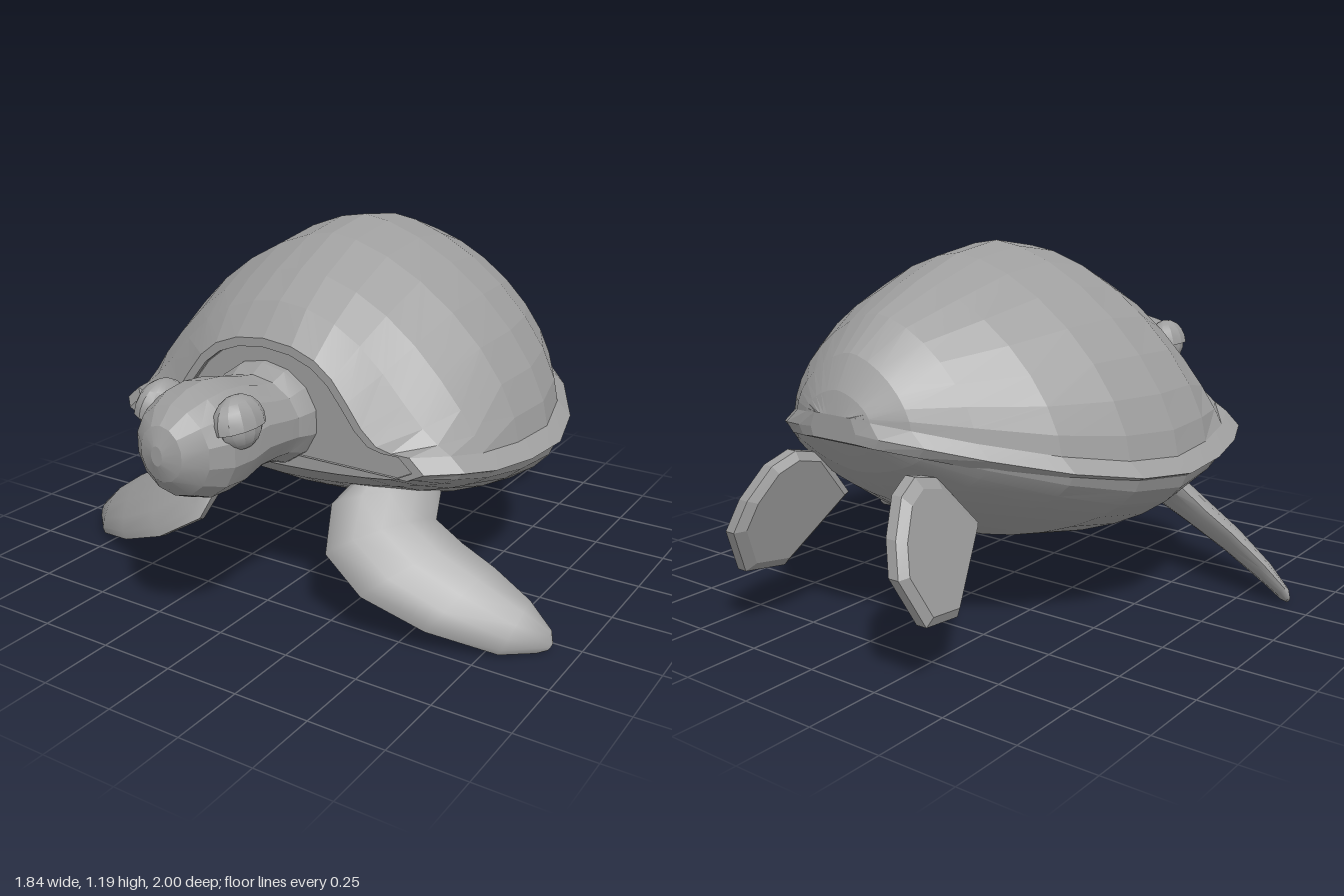
import * as THREE from 'three';
import { toCreasedNormals } from 'three/addons/utils/BufferGeometryUtils.js';

const V = (x, y, z) => new THREE.Vector3(x, y, z);
const STEPS = 8; // points from rim to ridge on each side
const POWER = 2 / 1.6; // roundness of the shell and belly sections

// Skin over closed rings; each ring runs counter-clockwise seen from the first ring's end
function loft(rings, crease) {
  const n = rings[0].length;
  const pos = rings.flat().flatMap((p) => [p.x, p.y, p.z]);
  const idx = [];
  for (let i = 0; i < rings.length - 1; i++) {
    for (let j = 0; j < n; j++) {
      const k = (j + 1) % n;
      const a = i * n + j, b = i * n + k, c = (i + 1) * n + k, d = (i + 1) * n + j;
      idx.push(a, d, c, a, c, b);
    }
  }
  // end caps
  [[0, false], [rings.length - 1, true]].forEach(([r, back]) => {
    const mid = rings[r].reduce((s, p) => s.add(p), V(0, 0, 0)).divideScalar(n);
    const m = pos.length / 3;
    pos.push(mid.x, mid.y, mid.z);
    for (let j = 0; j < n; j++) {
      const a = r * n + j, b = r * n + (j + 1) % n;
      idx.push(m, back ? b : a, back ? a : b);
    }
  });
  const g = new THREE.BufferGeometry();
  g.setAttribute('position', new THREE.Float32BufferAttribute(pos, 3));
  g.setIndex(idx);
  return toCreasedNormals(g, crease);
}

// Stations front to back: z, half width, ridge height, rim height, belly height, neck-arch blend
const STATIONS = [
  [0.49, 0.57, 0.91, 0.585, 0.50, 1],
  [0.40, 0.66, 1.01, 0.58, 0.43, 0.5],
  [0.28, 0.705, 1.09, 0.56, 0.365, 0.2],
  [0.10, 0.74, 1.175, 0.545, 0.28, 0],
  [-0.10, 0.75, 1.207, 0.54, 0.205, 0],
  [-0.30, 0.70, 1.18, 0.56, 0.25, 0],
  [-0.50, 0.59, 1.11, 0.60, 0.35, 0],
  [-0.68, 0.42, 1.03, 0.65, 0.46, 0],
  [-0.80, 0.28, 0.93, 0.69, 0.57, 0],
  [-0.86, 0.16, 0.83, 0.71, 0.66, 0],
  [-0.88, 0.09, 0.76, 0.72, 0.70, 0],
];
// Front opening profile, rim to ridge
const ARCH = [[1, 0], [0.88, 0], [0.78, 0.04], [0.68, 0.2], [0.58, 0.45], [0.48, 0.68], [0.36, 0.85], [0.2, 0.96], [0, 1]];

// Upper outline from the +x rim over the ridge to the -x rim
function dome([z, w, top, rim, , arch], k = 1) {
  const half = w - Math.min(0.05, w * 0.2), base = rim + 0.04;
  const pts = [];
  for (let j = 0; j <= 2 * STEPS; j++) {
    const i = j <= STEPS ? j : 2 * STEPS - j;
    const t = (i / STEPS) * Math.PI / 2;
    const u = THREE.MathUtils.lerp(Math.max(0, Math.cos(t)) ** POWER, ARCH[i][0], arch);
    const v = THREE.MathUtils.lerp(Math.sin(t) ** POWER, ARCH[i][1], arch);
    pts.push(V((j <= STEPS ? 1 : -1) * u * half * k, base + v * (top - base) * k, z));
  }
  return pts;
}

function shellRing(s) {
  const [z, w, , rim] = s;
  const inner = w * 0.9;
  return [V(inner, rim - 0.035, z), V(w, rim - 0.005, z), ...dome(s), V(-w, rim - 0.005, z), V(-inner, rim - 0.035, z)];
}

function bodyRing(s) {
  const [z, w, , rim, low] = s;
  const pts = dome(s, 0.9);
  const y0 = rim - 0.015;
  for (let j = 0; j <= 2 * STEPS; j++) {
    const t = (j / STEPS) * Math.PI / 2, c = Math.cos(t);
    pts.push(V(-Math.sign(c) * Math.abs(c) ** POWER * w * 0.975, y0 - (y0 - low) * Math.max(0, Math.sin(t)) ** POWER, z));
  }
  pts.forEach((p) => { p.z = z * 0.98; });
  return pts;
}

// Head and neck stations: z, centre height, half width, half height
const HEAD = [
  [1.0, 0.69, 0.02, 0.03], [0.98, 0.69, 0.075, 0.085], [0.93, 0.685, 0.135, 0.138],
  [0.86, 0.682, 0.172, 0.166], [0.78, 0.683, 0.18, 0.172], [0.70, 0.69, 0.178, 0.155],
  [0.62, 0.68, 0.178, 0.142], [0.55, 0.67, 0.175, 0.14], [0.50, 0.67, 0.19, 0.165], [0.38, 0.67, 0.2, 0.175],
];

// Front flipper: leading and trailing edge points with half thickness, shoulder to tip
const FLIPPER = [
  [V(0.25, 0.45, 0.36), V(0.42, 0.47, 0.10), 0.05],
  [V(0.215, 0.39, 0.44), V(0.47, 0.39, 0.19), 0.055],
  [V(0.25, 0.26, 0.53), V(0.51, 0.35, 0.29), 0.055],
  [V(0.40, 0.17, 0.565), V(0.60, 0.29, 0.285), 0.05],
  [V(0.60, 0.09, 0.52), V(0.71, 0.23, 0.275), 0.042],
  [V(0.80, 0.025, 0.42), V(0.83, 0.15, 0.27), 0.03],
  [V(0.885, 0.015, 0.335), V(0.91, 0.075, 0.28), 0.018],
  [V(0.91, 0.02, 0.31), V(0.92, 0.04, 0.29), 0.008],
];

function flipperRings(side) {
  const flip = (p) => V(p.x * side, p.y, p.z);
  const rows = FLIPPER.map(([a, b, t]) => ({ a: flip(a), b: flip(b), t }));
  const mids = rows.map(({ a, b }) => a.clone().add(b).multiplyScalar(0.5));
  return rows.map(({ a, b, t }, i) => {
    const along = mids[Math.min(i + 1, mids.length - 1)].clone().sub(mids[Math.max(i - 1, 0)]);
    const wide = a.clone().sub(b).multiplyScalar(0.5);
    const normal = wide.clone().cross(along).normalize();
    return Array.from({ length: 12 }, (_, j) => {
      const q = (j / 12) * Math.PI * 2;
      return mids[i].clone().addScaledVector(wide, Math.cos(q)).addScaledVector(normal, Math.sin(q) * t);
    });
  });
}

// Hind foot outline: distance behind centre, height
const FOOT = [[0.57, 0.41], [0.78, 0.2], [0.93, 0.22], [1.0, 0.37], [0.97, 0.47], [0.9, 0.57], [0.82, 0.605], [0.72, 0.58]];

// Bevelled plate, leaning outward toward its lower edge
function footRings(side) {
  return [[0.04, 0.85], [0.018, 1], [-0.018, 1], [-0.04, 0.85]].map(([off, k]) => {
    const ring = FOOT.map(([b, h]) => {
      const back = 0.81 + (b - 0.81) * k, y = 0.41 + (h - 0.41) * k;
      const x = 0.24 + 0.3 * (0.6 - y) + 0.12 * (back - 0.8) + off;
      return V(x * side, y, -back);
    });
    return side > 0 ? ring : ring.reverse();
  });
}

export function createModel() {
  const group = new THREE.Group();
  group.name = 'turtle';
  const grey = new THREE.MeshStandardMaterial({ color: 0x9e9e9e });
  grey.name = 'grey';
  const add = (name, geometry) => {
    const mesh = new THREE.Mesh(geometry, grey);
    mesh.name = name;
    group.add(mesh);
    return mesh;
  };

  // Shell with an inset lip around the neck opening
  const rings = STATIONS.map(shellRing);
  const inset = (z) => rings[0].map((p) => V(p.x * 0.93, 0.55 + (p.y - 0.55) * 0.92, z));
  add('shell', loft([inset(0.42), inset(0.49), ...rings], 0.12));
  add('body', loft(STATIONS.map(bodyRing), 0.2));

  // Head and neck
  add('headAndNeck', loft(HEAD.map(([z, cy, w, h]) => Array.from({ length: 14 }, (_, j) => {
    const q = (j / 14) * Math.PI * 2 + Math.PI / 2;
    return V(Math.cos(q) * w, cy + Math.sin(q) * h, z);
  })), 0.3));

  for (const side of [1, -1]) {
    const label = side > 0 ? 'left' : 'right';
    // Eye and the lid over its upper half
    const eye = add(label + 'Eye', toCreasedNormals(new THREE.SphereGeometry(1, 12, 8), 0.4));
    eye.scale.set(0.055, 0.075, 0.085);
    const lid = add(label + 'Eyelid', toCreasedNormals(new THREE.SphereGeometry(1, 12, 5, 0, Math.PI * 2, 0, Math.PI * 0.55), 0.4));
    lid.scale.set(0.062, 0.085, 0.097);
    for (const part of [eye, lid]) {
      part.position.set(side * 0.145, 0.757, 0.807);
      part.rotation.z = side * 0.2;
    }
    add(label + 'FrontFlipper', loft(flipperRings(side), 0.9));
    add(label + 'HindFlipper', loft(footRings(side), 0.2));
  }
  return group;
}
